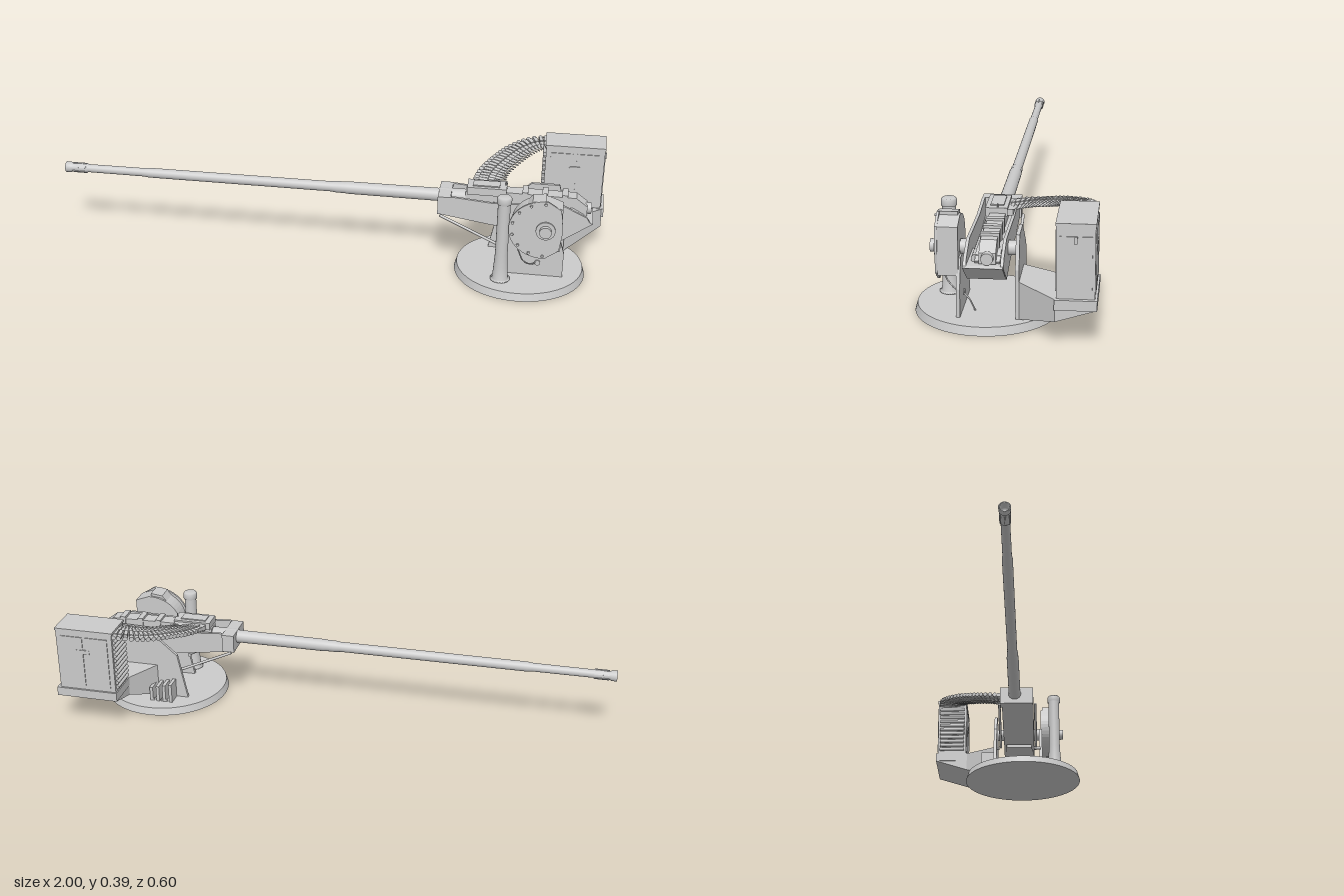
import * as THREE from 'three';

const mat = new THREE.MeshStandardMaterial({ color: 0xcccccc, side: THREE.DoubleSide });
const V = (x, y, z) => new THREE.Vector3(x, y, z);

export function createModel() {
  const root = new THREE.Group();
  const add = (name, geo, parent = root) => {
    const m = new THREE.Mesh(geo, mat);
    m.name = name;
    parent.add(m);
    return m;
  };
  // box given by its min and max on each axis
  const box = (name, x0, x1, y0, y1, z0, z1, parent) =>
    add(name, new THREE.BoxGeometry(x1 - x0, y1 - y0, z1 - z0)
      .translate((x0 + x1) / 2, (y0 + y1) / 2, (z0 + z1) / 2), parent);
  // round bar between two points
  const bar = (name, a, b, r0, r1 = r0, parent = root, n = 20) => {
    const d = b.clone().sub(a);
    const m = add(name, new THREE.CylinderGeometry(r1, r0, d.length(), n), parent);
    m.position.copy(a).addScaledVector(d, 0.5);
    m.quaternion.setFromUnitVectors(V(0, 1, 0), d.normalize());
    return m;
  };
  // side profile in x,y extruded from z0 to z1
  const plate = (name, pts, z0, z1) => {
    const s = new THREE.Shape(pts.map(p => new THREE.Vector2(p[0], p[1])));
    return add(name, new THREE.ExtrudeGeometry(s, { depth: z1 - z0, bevelEnabled: false }).translate(0, 0, z0));
  };

  const GY = 0.264, GZ = 0.038;

  // Turntable with bolts
  add('baseDisc', new THREE.CylinderGeometry(0.226, 0.234, 0.027, 64).translate(0.705, 0.0135, 0.065));
  for (let i = 0; i < 4; i++)
    bar('baseBolt', V(0.655 + i * 0.017, 0.027, -0.1), V(0.655 + i * 0.017, 0.034, -0.1), 0.005);

  // Carriage side plates
  plate('leftCarriagePlate', [[0.62, 0.027], [0.86, 0.027], [0.86, 0.12], [0.83, 0.215], [0.66, 0.215]], 0.134, 0.146);
  plate('rightCarriagePlate', [[0.585, 0.027], [0.86, 0.027], [0.86, 0.19], [0.83, 0.297], [0.73, 0.297], [0.62, 0.2]], -0.052, -0.04);
  for (let i = 0; i < 4; i++)
    box('carriageRib', 0.63 + i * 0.025, 0.642 + i * 0.025, 0.027, 0.1 - i * 0.006, -0.105 , -0.05);

  // Barrel
  const prof = [[0, -0.975], [0.013, -0.975], [0.014, -1], [0.02, -1], [0.019, -0.98], [0.016, -0.975], [0.016, -0.955],
    [0.018, -0.95], [0.018, -0.92], [0.015, -0.915], [0.0155, -0.7], [0.018, -0.68], [0.0185, 0.01], [0.021, 0.03],
    [0.021, 0.06], [0.0225, 0.07], [0.0235, 0.4], [0.027, 0.41], [0.027, 0.52], [0, 0.52]];
  add('barrel', new THREE.LatheGeometry(prof.map(p => new THREE.Vector2(p[0], p[1])), 28)
    .rotateZ(-Math.PI / 2).translate(0, GY, GZ));
  for (let i = 0; i < 6; i++) {
    const a = i * Math.PI / 3;
    const m = box('muzzleRib', -0.972, -0.92, -0.0015, 0.0015, -0.003, 0.003);
    m.rotation.x = a;
    m.position.set(0, GY + Math.cos(a) * 0.018, GZ + Math.sin(a) * 0.018);
  }

  // Cradle: side plates, floor, rear deflector, braces
  for (const z of [0.107, -0.008]) {
    plate('cradleSide', [[0.41, 0.285], [0.41, 0.223], [0.6, 0.195], [0.75, 0.18], [0.85, 0.156], [0.945, 0.225],
      [0.93, 0.25], [0.85, 0.288], [0.6, 0.28], [0.46, 0.292]], z - 0.005, z + 0.005);
    const o = z > 0 ? 0.12 : -0.023, out = z > 0 ? 0.138 : -0.045;
    bar('cradleBrace', V(0.415, 0.222, o), V(0.63, 0.122, o), 0.005);
    bar('braceFoot', V(0.63, 0.118, o - 0.007), V(0.63, 0.118, out), 0.007);
    bar('trunnion', V(0.79, 0.24, z), V(0.79, 0.24, out), 0.024);
  }
  plate('cradleFloor', [[0.41, 0.23], [0.41, 0.222], [0.6, 0.195], [0.75, 0.18], [0.75, 0.19], [0.6, 0.21]], -0.008, 0.107);
  plate('rearDeflector', [[0.78, 0.23], [0.78, 0.18], [0.85, 0.155], [0.952, 0.228], [0.94, 0.232]], -0.011, 0.112);
  box('cradleNose', 0.405, 0.45, 0.222, 0.29, -0.02, 0.112);

  // Receiver, buffers and feed cover
  plate('receiver', [[0.5, 0.235], [0.88, 0.22], [0.93, 0.235], [0.93, 0.27], [0.89, 0.3], [0.66, 0.303], [0.5, 0.295]], 0.012, 0.064);
  plate('receiverBase', [[0.5, 0.21], [0.9, 0.21], [0.92, 0.24], [0.88, 0.262], [0.5, 0.262]], 0.0, 0.078);
  bar('buffer', V(0.86, 0.255, GZ), V(0.945, 0.255, GZ), 0.023, 0.019);
  for (const z of [0.002, 0.078]) bar('recoilTube', V(0.46, 0.24, z), V(0.9, 0.24, z), 0.014);
  box('feedCover', 0.505, 0.645, 0.292, 0.32, 0.006, 0.078);
  box('feedCoverRidge', 0.525, 0.62, 0.32, 0.324, 0.02, 0.064);
  box('feedMouth', 0.52, 0.64, 0.294, 0.314, -0.012, 0.006);
  bar('rearSight', V(0.64, 0.318, GZ), V(0.64, 0.334, GZ), 0.002);
  for (const x of [0.7, 0.77, 0.84]) box('receiverStrap', x, x + 0.02, 0.24, 0.31, 0.008, 0.068);

  // Column
  const col = [[0, 0.027], [0.035, 0.027], [0.035, 0.032], [0.028, 0.034], [0.025, 0.08], [0.022, 0.13], [0.022, 0.325],
    [0.026, 0.326], [0.026, 0.345], [0.022, 0.351], [0, 0.351]];
  add('column', new THREE.LatheGeometry(col.map(p => new THREE.Vector2(p[0], p[1])), 28).translate(0.643, 0, 0.196));

  // Drum with flat rear, rim and hub
  const arc = (rx, ry) => Array.from({ length: 25 }, (_, i) => {
    const a = Math.PI * (0.48 + 1.04 * i / 24);
    return [0.785 + rx * Math.cos(a), 0.24 + ry * Math.sin(a)];
  });
  plate('drum', [...arc(0.115, 0.1), [0.845, 0.16], [0.845, 0.32]], 0.14, 0.205);
  plate('drumFace', [...arc(0.123, 0.11), [0.84, 0.165], [0.85, 0.24], [0.84, 0.32]], 0.205, 0.213);
  plate('drumTopGuard', [[0.72, 0.32], [0.74, 0.345], [0.785, 0.351], [0.785, 0.34], [0.745, 0.336]], 0.147, 0.211);
  bar('drumHub', V(0.79, 0.24, 0.13), V(0.79, 0.24, 0.234), 0.021);
  bar('hubCap', V(0.79, 0.24, 0.21), V(0.79, 0.24, 0.219), 0.034);
  for (let i = 0; i < 8; i++) {
    const a = Math.PI * (0.5 + i / 7);
    const x = 0.785 + 0.112 * Math.cos(a), y = 0.24 + 0.1 * Math.sin(a);
    bar('drumBolt', V(x, y, 0.212), V(x, y, 0.219), 0.005, 0.005, root, 8);
  }

  // Cable
  const cable = new THREE.CatmullRomCurve3([V(0.7, 0.16, 0.215), V(0.72, 0.11, 0.2), V(0.75, 0.08, 0.165),
    V(0.77, 0.078, 0.14), V(0.79, 0.065, 0.115), V(0.8, 0.027, 0.093)]);
  add('cable', new THREE.TubeGeometry(cable, 40, 0.0025, 8));
  bar('cableGrommet', V(0.77, 0.078, 0.13), V(0.77, 0.078, 0.152), 0.01);

  // Flared bracket carrying the magazine: rectangular sections along z
  const secs = [[-0.052, 0.7, 0.86, 0.027], [-0.172, 0.77, 0.992, 0.08], [-0.3, 0.77, 0.992, 0.12]];
  const pos = [], idx = [];
  for (const [z, x0, x1, y0] of secs) pos.push(x0, y0, z, x1, y0, z, x1, 0.152, z, x0, 0.152, z);
  for (let s = 0; s < 2; s++) for (let k = 0; k < 4; k++) {
    const a = s * 4 + k, b = s * 4 + (k + 1) % 4;
    idx.push(a, a + 4, b, b, a + 4, b + 4);
  }
  idx.push(8, 10, 9, 8, 11, 10);
  const loft = new THREE.BufferGeometry();
  loft.setAttribute('position', new THREE.Float32BufferAttribute(pos, 3));
  loft.setIndex(idx);
  const flat = loft.toNonIndexed();
  flat.computeVertexNormals();
  add('magazineBracket', flat);
  box('magazineTray', 0.768, 0.998, 0.12, 0.153, -0.3, -0.17);

  // Magazine box with panels, handles and rib stack
  box('magazineBox', 0.772, 0.985, 0.153, 0.39, -0.293, -0.175);
  box('magazineLid', 0.769, 0.988, 0.385, 0.393, -0.295, -0.173);
  box('rearPanel', 0.985, 0.988, 0.155, 0.352, -0.284, -0.185);
  box('rearHandle', 0.988, 0.993, 0.33, 0.352, -0.239, -0.229);
  for (const z of [-0.296, -0.175]) {
    for (const x of [0.79, 0.885]) box('sidePanel', x, x + 0.082, 0.17, 0.365, z, z + 0.003);
    box('sideLatch', 0.86, 0.91, 0.3, 0.315, z - 0.002, z + 0.005);
  }
  for (let i = 0; i < 11; i++)
    bar('stackedRound', V(0.768, 0.172 + i * 0.018, -0.285), V(0.768, 0.172 + i * 0.018, -0.183), 0.007, 0.007, root, 10);

  // Curved ammunition belt
  const path = new THREE.CatmullRomCurve3([V(0.785, 0.375, -0.235), V(0.735, 0.371, -0.228), V(0.68, 0.357, -0.195),
    V(0.625, 0.338, -0.125), V(0.588, 0.32, -0.06), V(0.575, 0.308, -0.005)]);
  const belt = new THREE.Group();
  belt.name = 'ammunitionBelt';
  root.add(belt);
  for (let i = 0; i <= 22; i++) {
    const p = path.getPointAt(i / 22), t = path.getTangentAt(i / 22);
    const s = V(t.z, 0, -t.x).normalize();
    const at = d => p.clone().addScaledVector(s, d);
    bar('cartridgeCase', at(-0.055), at(0.02), 0.0085, 0.0075, belt, 12);
    bar('cartridgeTip', at(0.02), at(0.058), 0.006, 0.002, belt, 12);
    const link = add('beltLink', new THREE.BoxGeometry(0.034, 0.02, 0.013), belt);
    link.position.copy(at(-0.02));
    link.lookAt(at(-0.02).add(t));
  }
  return root;
}
